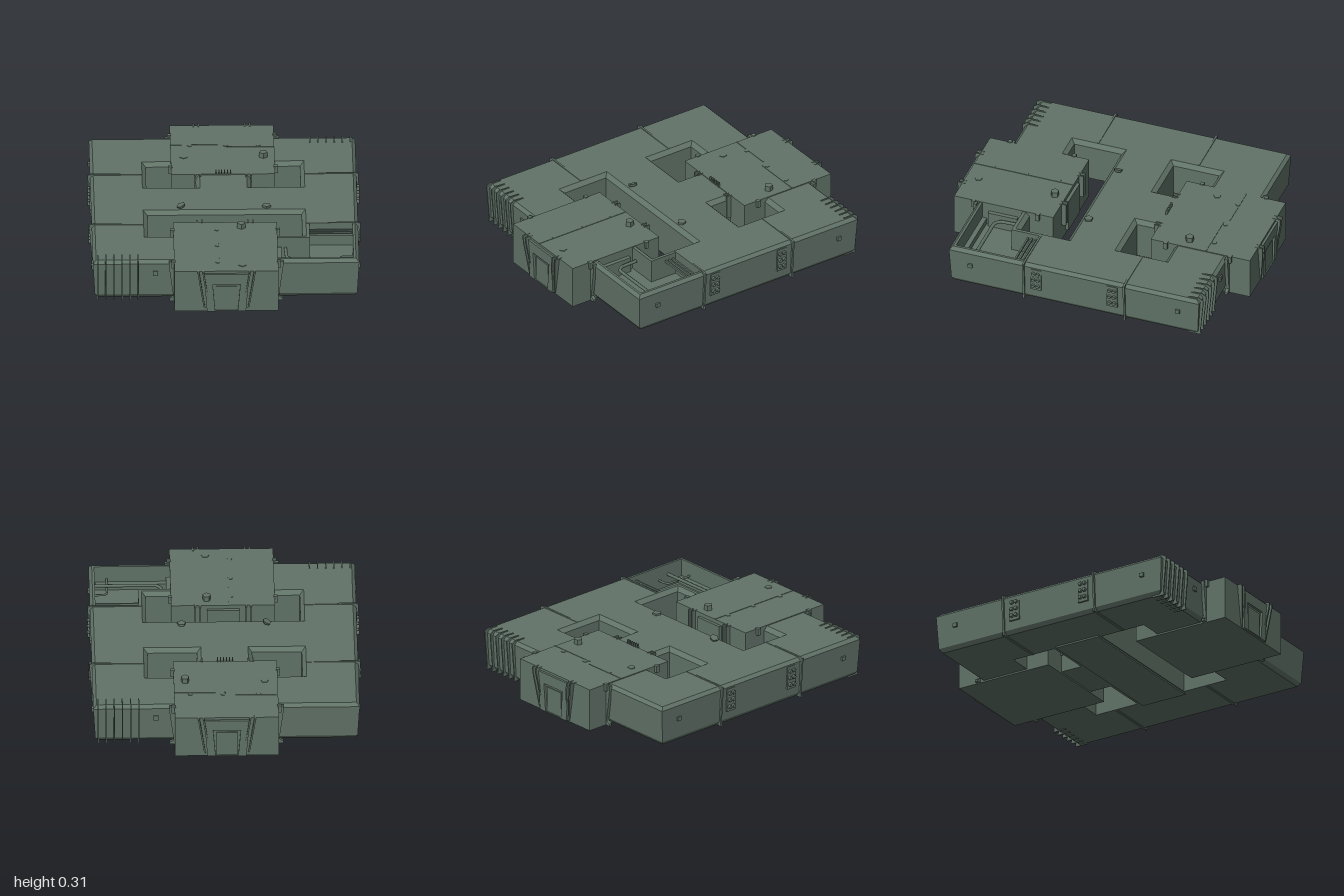
import * as THREE from 'three';

export function createModel() {
  const model = new THREE.Group();
  const green = new THREE.MeshStandardMaterial({ color: 0x617368 });
  green.name = 'greyGreen';

  const add = (parent, name, geometry, x = 0, y = 0, z = 0) => {
    const mesh = new THREE.Mesh(geometry, green);
    mesh.name = name;
    mesh.position.set(x, y, z);
    parent.add(mesh);
    return mesh;
  };
  // box given by its limits
  const box = (parent, name, x0, x1, y0, y1, z0, z1) =>
    add(parent, name, new THREE.BoxGeometry(x1 - x0, y1 - y0, z1 - z0),
      (x0 + x1) / 2, (y0 + y1) / 2, (z0 + z1) / 2);

  // rings of [x, z] corners; holes run the other way round
  const rect = (x0, x1, z0, z1) => [[x0, z0], [x1, z0], [x1, z1], [x0, z1]];
  const hole = (...r) => rect(...r).reverse();
  const offset = (ring, d) => ring.map((p, i) => {
    const a = ring[(i + ring.length - 1) % ring.length], b = ring[(i + 1) % ring.length];
    const normal = (s, e) => {
      const l = Math.hypot(e[0] - s[0], e[1] - s[1]);
      return [(e[1] - s[1]) / l, (s[0] - e[0]) / l];
    };
    const m = normal(a, p), n = normal(p, b);
    return [p[0] + d * (m[0] + n[0]), p[1] + d * (m[1] + n[1])];
  });
  // wall skin through levels of [y, outward offset]
  const wall = (ring, levels) => {
    const pos = [];
    for (let k = 0; k + 1 < levels.length; k++) {
      const lo = offset(ring, levels[k][1]), hi = offset(ring, levels[k + 1][1]);
      ring.forEach((_, i) => {
        const j = (i + 1) % ring.length;
        const a = [lo[i][0], levels[k][0], lo[i][1]], b = [lo[j][0], levels[k][0], lo[j][1]];
        const c = [hi[j][0], levels[k + 1][0], hi[j][1]], d = [hi[i][0], levels[k + 1][0], hi[i][1]];
        pos.push(...a, ...d, ...c, ...a, ...c, ...b);
      });
    }
    const g = new THREE.BufferGeometry();
    g.setAttribute('position', new THREE.Float32BufferAttribute(pos, 3));
    g.computeVertexNormals();
    return g;
  };
  const cap = (outer, holes, y, up) => {
    const s = up ? -1 : 1;
    const pts = ring => ring.map(p => new THREE.Vector2(p[0], s * p[1]));
    const shape = new THREE.Shape(pts(outer));
    shape.holes = holes.map(h => new THREE.Path(pts(h)));
    return new THREE.ShapeGeometry(shape).rotateX(s * Math.PI / 2).translate(0, y, 0);
  };

  // hull with three openings and one open equipment bay
  const outer = rect(-0.82, 0.82, -0.82, 0.82);
  const holes = [hole(-0.475, 0.475, 0.165, 0.475), hole(-0.475, -0.17, -0.475, -0.175),
    hole(0.17, 0.475, -0.475, -0.175)];
  const bay = [[0.3, 0.52], [0.52, 0.52], [0.52, 0.335], [0.785, 0.335], [0.785, 0.785], [0.3, 0.785]].reverse();
  const levels = [[0.01, -0.03], [0.035, -0.012], [0.25, 0], [0.27, -0.02]];
  const holeLevels = [[0.01, 0], [0.245, 0], [0.27, -0.025]];
  const hull = new THREE.Group();
  hull.name = 'hull';
  model.add(hull);
  add(hull, 'outerWall', wall(outer, levels));
  holes.forEach(h => add(hull, 'openingWall', wall(h, holeLevels)));
  add(hull, 'deck', cap(offset(outer, -0.02), [...holes.map(h => offset(h, -0.025)), bay], 0.27, true));
  add(hull, 'underside', cap(offset(outer, -0.03), holes, 0.01, false));
  const floorY = 0.12;
  add(hull, 'bayWall', wall(bay, [[floorY, 0], [0.27, 0]]));
  add(hull, 'bayFloor', cap(bay, [], floorY, true));
  box(hull, 'keelPlate', -0.5, 0.5, 0, 0.012, -0.15, 0.16);

  // pipes, rails and cabinets in the bay
  const pipe = (points, r) => add(model, 'bayPipe', new THREE.TubeGeometry(new THREE.CatmullRomCurve3(
    points.map(p => new THREE.Vector3(...p)), false, 'catmullrom', 0.1), 24, r, 6));
  pipe([[0.37, 0.2, 0.53], [0.375, 0.2, 0.64], [0.41, 0.2, 0.675], [0.79, 0.2, 0.675]], 0.011);
  pipe([[0.79, 0.18, 0.6], [0.73, 0.18, 0.6], [0.71, 0.18, 0.62], [0.71, 0.18, 0.79]], 0.007);
  for (const z of [0.36, 0.385, 0.41]) box(model, 'bayRail', 0.51, 0.79, 0.225, 0.24, z - 0.005, z + 0.005);
  box(model, 'bayCabinet', 0.32, 0.345, floorY, 0.22, 0.55, 0.74);
  box(model, 'bayLedge', 0.32, 0.78, floorY, 0.16, 0.755, 0.785);
  box(model, 'bayBeam', 0.335, 0.52, 0.225, 0.245, 0.5, 0.515);

  // thin plate cut from a profile whose first axis points outward
  const plate = (points, depth) => new THREE.ExtrudeGeometry(
    new THREE.Shape(points.map(p => new THREE.Vector2(...p))), { depth, bevelEnabled: false })
    .translate(0, 0, -depth / 2);
  const ribProfile = [[0.74, 0.275], [0.81, 0.278], [0.838, 0.262], [0.838, 0.235], [0.82, 0.03],
    [0.825, 0.004], [0.74, 0.004]];
  const strapProfile = [[0.5, 0.01], [0.5, 0.273], [0.81, 0.276], [0.834, 0.27], [0.834, 0.24],
    [0.818, 0.03], [0.822, 0.005]];
  const blockRib = [[0.95, 0.01], [0.95, 0.278], [1, 0.275], [1, 0.235], [0.976, 0.01]];

  // everything that repeats under a half turn
  const buildHalf = name => {
    const half = new THREE.Group();
    half.name = name;
    model.add(half);
    box(half, 'block', -0.32, 0.32, 0, 0.275, 0.32, 0.97);
    // doorway on the outer face
    const door = new THREE.Shape([[-0.12, 0.005], [0.12, 0.005], [0.14, 0.26], [-0.14, 0.26]]
      .map(p => new THREE.Vector2(...p)));
    door.holes.push(new THREE.Path([[-0.07, 0.01], [0.07, 0.01], [0.085, 0.19], [-0.085, 0.19]]
      .map(p => new THREE.Vector2(...p))));
    add(half, 'doorFrame', new THREE.ExtrudeGeometry(door, { depth: 0.015, bevelEnabled: false }), 0, 0, 0.97);
    box(half, 'door', -0.064, 0.064, 0.01, 0.172, 0.968, 0.978);
    box(half, 'innerHatch', -0.1, 0.1, 0.03, 0.25, 0.3, 0.32);
    // leaning ribs beside the doorway and short ones on the inner face
    for (const s of [-1, 1]) {
      for (const x of [0.142, 0.172]) {
        const rib = add(half, 'doorRib', plate(blockRib, 0.01).rotateY(-Math.PI / 2));
        rib.geometry.applyMatrix4(new THREE.Matrix4().makeShear(0, 0, s * 0.15, 0, 0, 0));
        rib.position.x = s * (x - 0.04);
        box(half, 'innerRib', s * x - 0.005, s * x + 0.005, 0.12, 0.278, 0.29, 0.33);
      }
      // clips where the block meets the hull
      for (const z of [0.42, 0.84]) {
        box(half, 'blockClip', s * 0.325 - 0.013, s * 0.325 + 0.013, 0.235, 0.28, z - 0.012, z + 0.012);
      }
      const bracket = add(half, 'blockBracket', plate([[0.3, 0], [0.3, 0.27], [0.352, 0.27],
        [0.352, 0.24], [0.325, 0.03], [0.35, 0.015], [0.35, 0]], 0.02), 0, 0, 0.825);
      if (s < 0) bracket.geometry.rotateY(Math.PI);
    }
    // corner rib set
    for (let i = 0; i < 6; i++) {
      add(half, 'cornerRib', plate(ribProfile, 0.008).rotateY(-Math.PI / 2), -0.79 + i * 0.05, 0, 0);
    }
    // side straps, vent panels and bolts
    for (const s of [-1, 1]) {
      add(half, 'sideStrap', plate(strapProfile, 0.012), 0, 0, s * 0.33);
      box(half, 'ventPanel', 0.8, 0.823, 0.09, 0.24, s * 0.25 - 0.035, s * 0.25 + 0.035);
      for (let row = 0; row < 3; row++) for (const dz of [-0.015, 0.015]) {
        add(half, 'ventBolt', new THREE.CylinderGeometry(0.012, 0.014, 0.018, 6).rotateZ(-Math.PI / 2),
          0.828, 0.12 + row * 0.045, s * 0.25 + dz);
      }
      box(half, 'sideLatch', 0.8, 0.828, 0.15, 0.175, s * 0.68 - 0.014, s * 0.68 + 0.014);
      box(half, 'undersideSeam', 0.48, 0.8, 0.005, 0.012, s * 0.33 - 0.008, s * 0.33 + 0.008);
    }
    box(half, 'frontLatch', -0.45, -0.42, 0.17, 0.2, 0.8, 0.827);
    return half;
  };
  buildHalf('frontHalf');
  buildHalf('backHalf').rotation.y = Math.PI;

  // deck seams
  box(model, 'deckSeam', -0.042, -0.036, 0.27, 0.278, 0.32, 0.97);
  box(model, 'deckSeam', -0.32, -0.03, 0.27, 0.278, -0.713, -0.707);
  box(model, 'deckSeam', 0, 0.32, 0.27, 0.278, -0.683, -0.677);

  // roof caps: x, z, radius, height
  [[0.25, -0.55, 0.027, 0.035], [0.1, 0.39, 0.027, 0.035], [-0.24, -0.55, 0.025, 0.006],
    [0.26, 0.11, 0.028, 0.012], [0.1, 0.89, 0.025, 0.006], [-0.2, -0.7, 0.016, 0.005],
    [0.02, -0.7, 0.016, 0.005], [0.22, -0.7, 0.016, 0.005], [-0.05, 0.42, 0.016, 0.005],
    [-0.05, 0.63, 0.016, 0.005], [-0.05, 0.85, 0.016, 0.005]].forEach(([x, z, r, h]) => {
    add(model, 'roofCap', new THREE.CylinderGeometry(r, r, h, 5).toNonIndexed(), x, 0.273 + h / 2, z)
      .geometry.computeVertexNormals();
  });
  add(model, 'tiltedDish', new THREE.CylinderGeometry(0.03, 0.024, 0.015, 5), -0.265, 0.283, 0.11).rotation.z = 0.4;
  // row of small fins
  for (let i = 0; i < 6; i++) {
    const x = -0.045 + i * 0.018;
    box(model, 'deckFin', x - 0.003, x + 0.003, 0.26, 0.302, -0.328, -0.316);
  }
  return model;
}
